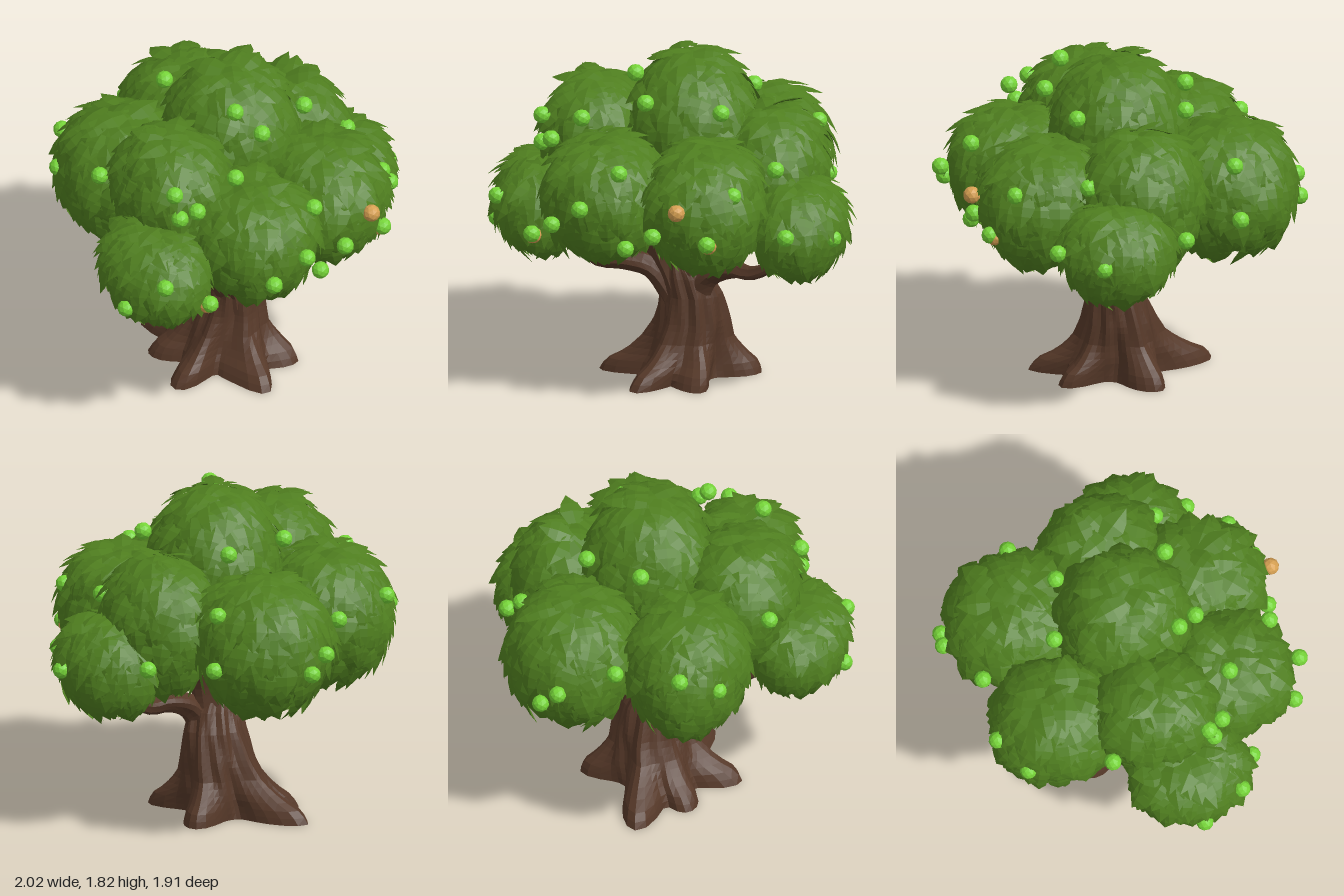
import * as THREE from 'three';
import { mergeGeometries } from 'three/addons/utils/BufferGeometryUtils.js';

const bark = new THREE.MeshStandardMaterial({ color: 0x553828, flatShading: true, name: 'bark' });
const leafGreen = new THREE.MeshStandardMaterial({ color: 0x4f7e1f, flatShading: true, side: THREE.DoubleSide, name: 'leafGreen' });
const fruitGreen = new THREE.MeshStandardMaterial({ color: 0x75d337, flatShading: true, name: 'fruitGreen' });
const fruitOrange = new THREE.MeshStandardMaterial({ color: 0xd6a052, flatShading: true, name: 'fruitOrange' });

// Small seeded random generator
let seed = 7;
const rand = () => (seed = (seed * 16807) % 2147483647) / 2147483647;
const vary = (a) => (rand() - 0.5) * 2 * a;

function addMesh(parent, name, geometry, material) {
  const mesh = new THREE.Mesh(geometry, material);
  mesh.name = name;
  parent.add(mesh);
  return mesh;
}

// Trunk levels: y, centre x, centre z, radius x, radius z, share of root reach
const LEVELS = [
  [0, 0, -0.01, 0.22, 0.22, 1],
  [0.06, 0.01, -0.01, 0.21, 0.21, 0.92],
  [0.12, 0.03, -0.01, 0.2, 0.2, 0.56],
  [0.2, 0.04, 0, 0.19, 0.19, 0.24],
  [0.3, 0.06, 0.01, 0.18, 0.175, 0.1],
  [0.45, 0.06, 0.03, 0.165, 0.15, 0],
  [0.57, 0.03, 0.055, 0.145, 0.12, 0],
  [0.7, 0.0, 0.075, 0.04, 0.08, 0],
];
// Roots: angle from +x towards +z in degrees, reach
const ROOTS = [[63, 0.22], [105, 0.27], [168, 0.22], [225, 0.17], [266, 0.31], [347, 0.22]];

function levelAt(y) {
  let i = 0;
  while (i < LEVELS.length - 2 && y > LEVELS[i + 1][0]) i++;
  const [a, b] = [LEVELS[i], LEVELS[i + 1]];
  const t = (y - a[0]) / (b[0] - a[0]);
  return a.map((v, k) => v + (b[k] - v) * t);
}

// Trunk with flared roots and twisting bark ridges
function trunkGeometry() {
  const geo = new THREE.CylinderGeometry(1, 1, 1, 60, 20);
  const p = geo.attributes.position;
  for (let i = 0; i < p.count; i++) {
    const y = (p.getY(i) + 0.5) * 0.7;
    const x = p.getX(i), z = p.getZ(i);
    const [, cx, cz, rx, rz, share] = levelAt(y);
    const a = Math.atan2(z, x) + y * 0.35;
    let lobe = 0;
    for (const [deg, reach] of ROOTS) {
      const d = a - deg * Math.PI / 180;
      lobe = Math.max(lobe, reach * Math.exp(-10 * Math.atan2(Math.sin(d), Math.cos(d)) ** 2));
    }
    const ridge = 1 + 0.05 * Math.sin(9 * a + 7 * y) + 0.035 * Math.sin(14 * a - 11 * y + 1);
    p.setXYZ(i, cx + x * (rx * ridge + share * lobe), y, cz + z * (rz * ridge + share * lobe));
  }
  geo.computeVertexNormals();
  return geo;
}

// Tapered, slightly knotty limb along a curve
function limbGeometry(points, r0, r1) {
  const curve = new THREE.CatmullRomCurve3(points.map((q) => new THREE.Vector3(...q)));
  const rows = 16, sides = 14;
  const geo = new THREE.TubeGeometry(curve, rows, 1, sides);
  const p = geo.attributes.position, v = new THREE.Vector3();
  for (let i = 0; i <= rows; i++) {
    const t = i / rows, c = curve.getPointAt(t);
    const r = i === rows ? 0 : r0 + (r1 - r0) * t;
    for (let j = 0; j <= sides; j++) {
      const k = i * (sides + 1) + j;
      const bump = 1 + 0.1 * Math.sin(j / sides * Math.PI * 8 + t * 4);
      v.fromBufferAttribute(p, k).sub(c).multiplyScalar(r * bump).add(c);
      p.setXYZ(k, v.x, v.y, v.z);
    }
  }
  geo.computeVertexNormals();
  return geo;
}

// Pointed leaf: rows of [distance from stem, half width, lift]
function leafGeometry() {
  const rows = [[-0.02, 0.035, 0], [0.045, 0.058, 0.012], [0.09, 0.043, 0.011], [0.145, 0.001, 0]];
  const pos = [], index = [];
  rows.forEach(([y, w, h], i) => {
    pos.push(-w, y, h - w * 0.2, 0, y, h, w, y, h - w * 0.2);
    if (i === 0) return;
    for (const j of [0, 1]) {
      const a = (i - 1) * 3 + j, b = a + 3;
      index.push(a, a + 1, b + 1, a, b + 1, b);
    }
  });
  const geo = new THREE.BufferGeometry();
  geo.setAttribute('position', new THREE.Float32BufferAttribute(pos, 3));
  geo.setIndex(index);
  geo.computeVertexNormals();
  return geo;
}

// Leaf clump: core of given squareness, full below the middle, covered with overlapping leaves
function clumpGeometry([cx, cy, cz, rx, ry, rz, power], leaf) {
  const onClump = (d, s) => {
    const h = Math.max(Math.hypot(d.x, d.z), 0.05);
    const square = (Math.abs(d.x / h) ** power + Math.abs(d.z / h) ** power + 1e-6) ** (-1 / power);
    const fat = s * (h > 0.06 ? square : 1) * (d.y < 0 ? h ** -0.3 : 1);
    return new THREE.Vector3(cx + d.x * rx * fat, cy + d.y * ry * s, cz + d.z * rz * fat);
  };
  const core = new THREE.SphereGeometry(1, 24, 16);
  core.deleteAttribute('uv');
  const p = core.attributes.position, d = new THREE.Vector3();
  for (let i = 0; i < p.count; i++) {
    const q = onClump(d.fromBufferAttribute(p, i), 0.92);
    p.setXYZ(i, q.x, q.y, q.z);
  }
  const parts = [core], count = 290, m = new THREE.Matrix4();
  for (let i = 0; i < count; i++) {
    const y = 1 - (i + 0.5) / count * 1.92;
    const a = i * 2.39996 + vary(0.15), r = Math.sqrt(1 - y * y);
    d.set(Math.cos(a) * r, y, Math.sin(a) * r);
    const n = new THREE.Vector3(d.x / rx, d.y / ry, d.z / rz).normalize();
    const down = new THREE.Vector3(vary(0.35), -1, vary(0.35));
    const lift = 0.06 + vary(0.18) + 0.2 * Math.max(0, -y);
    down.addScaledVector(n, -down.dot(n)).normalize().addScaledVector(n, lift).normalize();
    const side = new THREE.Vector3().crossVectors(down, n).normalize();
    n.crossVectors(side, down);
    const s = 1 + vary(0.2);
    m.makeBasis(side, down, n).scale(new THREE.Vector3(s, s, s)).setPosition(onClump(d, 0.94));
    parts.push(leaf.clone().applyMatrix4(m));
  }
  return mergeGeometries(parts);
}

// Clumps: centre x, y, z, radius x, y, z, squareness (2 is round)
const CLUMPS = {
  crownClump: [0.07, 1.36, 0.02, 0.35, 0.48, 0.36, 2.4],
  upperRightClump: [-0.45, 1.30, 0.07, 0.28, 0.36, 0.33, 2.4],
  upperLeftClump: [0.53, 1.17, 0.01, 0.28, 0.38, 0.33, 2.2],
  lowerRightClump: [-0.71, 0.965, 0.2, 0.25, 0.27, 0.32, 2],
  lowerLeftClump: [0.72, 0.955, 0.19, 0.25, 0.27, 0.31, 2],
  frontRightClump: [-0.27, 1.12, 0.49, 0.32, 0.34, 0.36, 2.5],
  frontLeftClump: [0.285, 1.11, 0.47, 0.31, 0.35, 0.36, 2.5],
  backLeftClump: [0.3, 1.12, -0.52, 0.34, 0.38, 0.37, 2.7],
  backRightClump: [-0.32, 1.13, -0.43, 0.32, 0.38, 0.36, 2.4],
};

// Fruit centres, front then back
const GREEN = [
  [-0.17, 1.72, 0.27], [-0.08, 1.59, 0.38], [0.32, 1.55, 0.31], [-0.68, 1.45, 0.31], [-0.4, 1.51, 0.49],
  [-0.6, 1.35, 0.4], [-0.67, 1.31, 0.34], [-0.1, 1.31, 0.78], [-0.28, 1.13, 0.9], [-0.46, 1.01, 0.83],
  [-0.89, 1.02, 0.44], [-0.96, 0.83, 0.22], [-0.66, 0.86, 0.55], [-0.06, 0.9, 0.79], [0.1, 0.99, 0.82],
  [0.4, 0.97, 0.81], [0.51, 1.22, 0.7], [0.63, 1.27, 0.33], [0.75, 0.96, 0.53], [0.95, 0.92, 0.33],
  [0.24, 1.1, -0.92], [0.34, 1.01, -0.91], [-0.4, 1.25, -0.78], [-0.57, 1.15, -0.65], [-0.03, 1.2, -0.77],
  [-0.03, 1.57, -0.38], [0.31, 1.54, -0.29], [-0.7, 1.35, -0.22], [0.66, 1.02, -0.5], [0.61, 1.31, -0.48],
  [0.81, 0.99, -0.16],
];
const ORANGE = [[0.25, 1.15, 0.87], [0.4, 0.958, 0.785], [-0.66, 0.848, 0.53]];

export function createModel() {
  const tree = new THREE.Group();
  tree.name = 'tree';

  // Trunk and limbs
  addMesh(tree, 'trunk', trunkGeometry(), bark);
  const limbs = {
    mainLimbRight: [[[0.03, 0.3, 0.04], [-0.02, 0.54, 0.06], [-0.09, 0.7, 0.08], [-0.14, 0.85, 0.08], [-0.2, 1.0, 0.07]], 0.12, 0.05],
    mainLimbLeft: [[[0.08, 0.3, 0.04], [0.07, 0.54, 0.06], [0.09, 0.7, 0.07], [0.14, 0.85, 0.06], [0.2, 1.0, 0.05]], 0.12, 0.05],
    sideLimbRight: [[[0.0, 0.42, 0.07], [-0.13, 0.6, 0.11], [-0.28, 0.635, 0.14], [-0.42, 0.64, 0.17], [-0.58, 0.8, 0.2]], 0.08, 0.022],
    sideLimbLeft: [[[0.08, 0.4, 0.07], [0.18, 0.58, 0.1], [0.33, 0.635, 0.13], [0.44, 0.63, 0.16], [0.64, 0.73, 0.2]], 0.08, 0.022],
    twigRight: [[[-0.29, 0.64, 0.14], [-0.3, 0.72, 0.15], [-0.29, 0.84, 0.18]], 0.025, 0.018],
    twigLeft: [[[0.34, 0.63, 0.13], [0.35, 0.7, 0.14], [0.34, 0.82, 0.17]], 0.025, 0.018],
  };
  for (const [name, args] of Object.entries(limbs)) addMesh(tree, name, limbGeometry(...args), bark);

  // Canopy
  const leaf = leafGeometry();
  for (const [name, c] of Object.entries(CLUMPS)) addMesh(tree, name, clumpGeometry(c, leaf), leafGreen);

  // Fruit
  const ball = new THREE.IcosahedronGeometry(0.047, 1);
  for (const at of GREEN) addMesh(tree, 'greenFruit', ball, fruitGreen).position.set(...at);
  for (const at of ORANGE) addMesh(tree, 'orangeFruit', ball, fruitOrange).position.set(...at);
  return tree;
}
